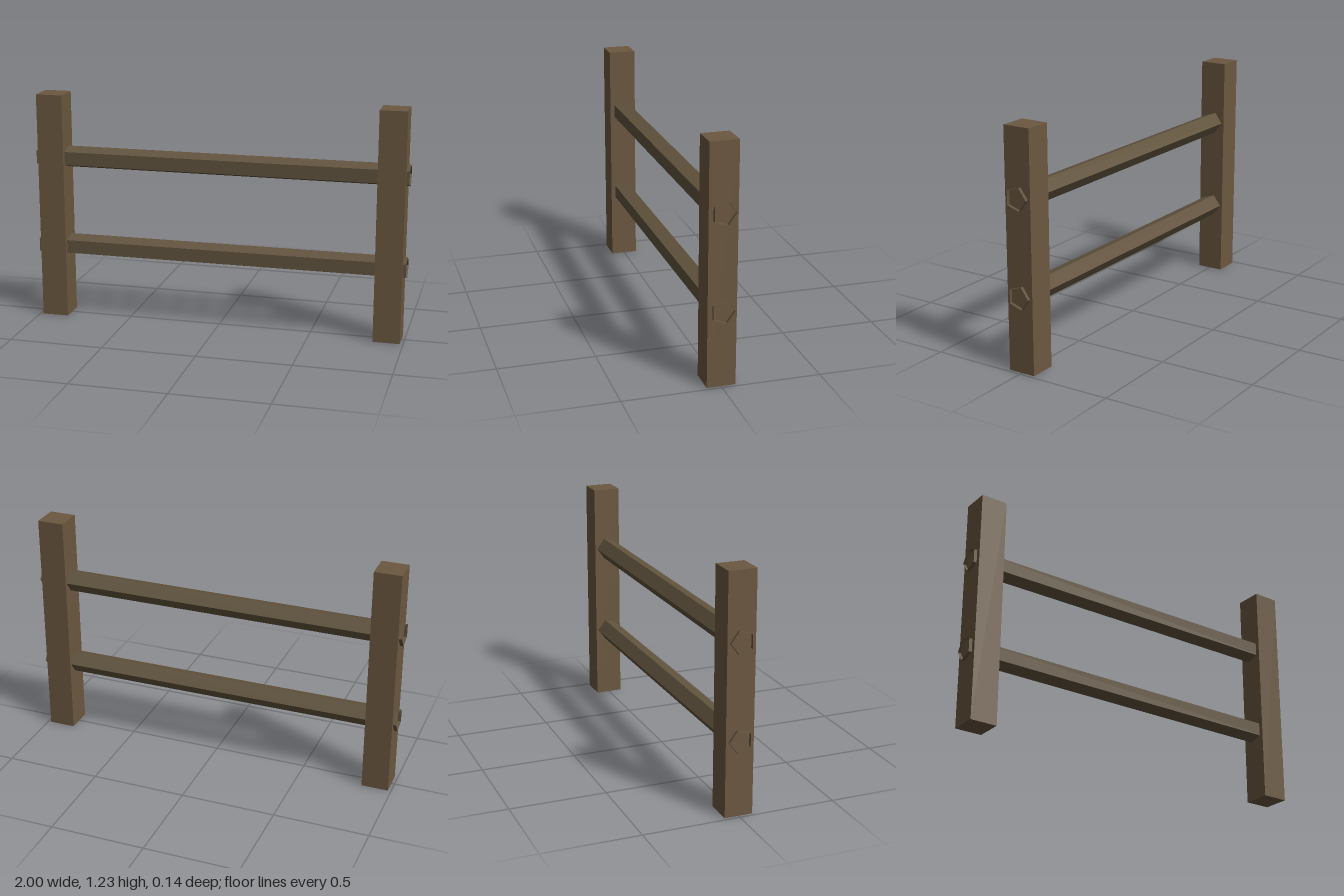
import * as THREE from 'three';

export function createModel() {
  const model = new THREE.Group();
  model.name = 'fence';

  const postMaterial = new THREE.MeshStandardMaterial({ color: 0x6b5840, flatShading: true });
  const railMaterial = new THREE.MeshStandardMaterial({
    color: 0x62543e, flatShading: true, side: THREE.DoubleSide,
  });

  // Square posts
  const postHeight = 1.225;
  const postGeometry = new THREE.BoxGeometry(0.142, postHeight, 0.145);
  for (const side of [1, -1]) {
    const post = new THREE.Mesh(postGeometry, postMaterial);
    post.name = side > 0 ? 'leftPost' : 'rightPost';
    post.position.set(side * 0.912, postHeight / 2, 0);
    model.add(post);
  }

  // Five-sided, open-ended rails: flat side to the front, ridge to the back
  const railGeometry = new THREE.CylinderGeometry(0.06, 0.06, 2, 5, 1, true, Math.PI);
  railGeometry.rotateZ(Math.PI / 2);
  for (const [name, y] of [['lowerRail', 0.39], ['upperRail', 0.88]]) {
    const rail = new THREE.Mesh(railGeometry, railMaterial);
    rail.name = name;
    rail.position.y = y;
    model.add(rail);
  }

  return model;
}
